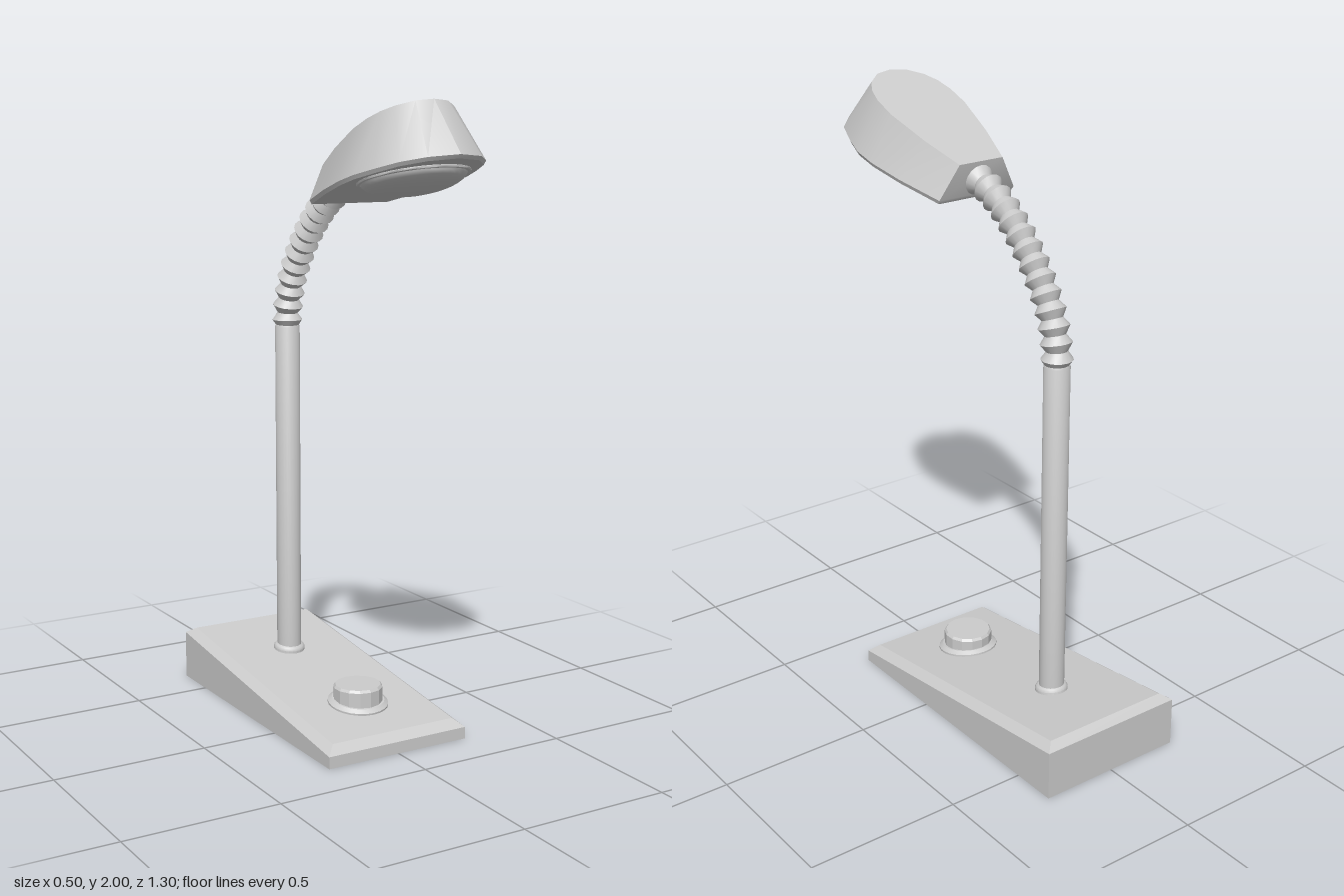
import * as THREE from 'three';
import { toCreasedNormals } from 'three/addons/utils/BufferGeometryUtils.js';

const material = new THREE.MeshStandardMaterial({ color: 0xcccccc });
const V = (x, y, z) => new THREE.Vector3(x, y, z);

function part(name, geometry, crease = 0.6) {
  const mesh = new THREE.Mesh(toCreasedNormals(geometry, crease), material);
  mesh.name = name;
  return mesh;
}

// Skin stacked closed loops (anticlockwise seen from above), capped at both ends
function loft(loops) {
  const n = loops[0].length, pos = [], index = [];
  loops.forEach(loop => loop.forEach(p => pos.push(p.x, p.y, p.z)));
  for (let k = 0; k < loops.length - 1; k++) {
    for (let i = 0; i < n; i++) {
      const a = k * n + i, b = k * n + (i + 1) % n;
      index.push(a, b, b + n, a, b + n, a + n);
    }
  }
  const last = (loops.length - 1) * n;
  for (let i = 1; i < n - 1; i++) {
    index.push(0, i + 1, i, last, last + i, last + i + 1);
  }
  const g = new THREE.BufferGeometry();
  g.setAttribute('position', new THREE.Float32BufferAttribute(pos, 3));
  g.setIndex(index);
  return g;
}

function lathe(points, sides = 24) {
  return new THREE.LatheGeometry(points.map(p => new THREE.Vector2(...p)), sides);
}

const SLOPE = 0.122; // fall of the base top towards the front
const baseTop = z => 0.065 + (0.32 - z) * SLOPE;

function createBase() {
  const rect = (inset, yOf) => {
    const x = 0.25 - inset, f = 0.35 - inset, b = -0.65 + inset;
    return [[-x, f], [x, f], [x, b], [-x, b]].map(([px, pz]) => V(px, yOf(pz), pz));
  };
  return part('base', loft([
    rect(0, () => 0),
    rect(0, z => baseTop(z) - 0.023),
    rect(0.03, baseTop),
  ]), 0.1);
}

// Corrugated tube: every other ring of a tube is pulled in
function createGooseneck() {
  const path = new THREE.CatmullRomCurve3([
    V(0, 1.26, -0.35), V(0, 1.32, -0.347), V(0, 1.43, -0.313), V(0, 1.565, -0.222),
    V(0, 1.68, -0.098), V(0, 1.733, 0), V(0, 1.75, 0.06),
  ]);
  const rings = 28, sides = 16;
  const g = new THREE.TubeGeometry(path, rings, 0.05, sides);
  const pos = g.attributes.position, p = V(0, 0, 0);
  for (let i = 0; i <= rings; i++) {
    const c = path.getPointAt(i / rings), s = i % 2 ? 1 : 0.66;
    for (let j = 0; j <= sides; j++) {
      const k = i * (sides + 1) + j;
      p.fromBufferAttribute(pos, k).sub(c).multiplyScalar(s).add(c);
      pos.setXYZ(k, p.x, p.y, p.z);
    }
  }
  return part('gooseneck', g);
}

function createHead() {
  const head = new THREE.Group();
  head.name = 'lampHead';

  // Half outlines [x, z] from the front round to the back
  const rim = [[0, 0.648], [0.09, 0.619], [0.148, 0.56], [0.178, 0.48],
    [0.2, 0.4], [0.2, 0.32], [0.18, 0.2], [0.14, 0.047]];
  const roof = [[0, 0.512], [0.055, 0.5], [0.1, 0.465], [0.125, 0.425],
    [0.138, 0.375], [0.14, 0.3], [0.115, 0.155], [0.08, 0.025]];
  const under = z => 1.687 + 0.25 * (z - 0.045);
  const loop = (half, yOf, s = 1) => {
    const mirrored = half.slice(1).reverse().map(([x, z]) => [-x, z]);
    return [...half, ...mirrored].map(([x, z]) => V(x * s, yOf(z), (z - 0.35) * s + 0.35));
  };
  head.add(part('shade', loft([
    loop(rim, under, 0.975),
    loop(rim, z => under(z) + 0.012),
    loop(roof, z => 1.805 + 0.402 * (z - 0.025)),
  ]), 0.5));

  // Bulging lens with a thin ring around it
  const lamp = new THREE.Group();
  lamp.name = 'lamp';
  const arc = [];
  for (let i = 0; i <= 8; i++) {
    const a = i / 8;
    arc.push([0.157 * Math.sin(a * Math.PI / 2), -0.05 * Math.cos(a * Math.PI / 2)]);
  }
  lamp.add(part('lens', lathe(arc, 32)));
  const ring = part('lensRing', new THREE.TorusGeometry(0.162, 0.007, 8, 32), 1);
  ring.rotation.x = Math.PI / 2;
  lamp.add(ring);
  lamp.position.set(0, under(0.41), 0.41);
  lamp.rotation.x = -Math.atan(0.25);
  head.add(lamp);
  return head;
}

export function createModel() {
  const model = new THREE.Group();
  model.name = 'deskLamp';
  model.add(createBase());

  // Upright post and the collar where it meets the base
  const post = part('post', lathe([[0, 0.1], [0.041, 0.1], [0.041, 1.262],
    [0.036, 1.272], [0, 1.272]]));
  post.position.z = -0.35;
  model.add(post);
  const collar = part('postCollar', lathe([[0.053, -0.01], [0.053, 0.008],
    [0.048, 0.016], [0.04, 0.02]]));
  collar.position.set(0, baseTop(-0.35), -0.35);
  collar.rotation.x = SLOPE;
  model.add(collar);

  // Control knob on its sloping flange
  const flange = part('knobFlange', lathe([[0.098, -0.01], [0.098, 0.006],
    [0.085, 0.016], [0, 0.016]]));
  flange.position.set(0, baseTop(0.105), 0.105);
  flange.rotation.x = SLOPE;
  model.add(flange);
  const knob = part('knob', lathe([[0.08, 0.08], [0.08, 0.147],
    [0.074, 0.155], [0, 0.155]], 14), 0.3);
  knob.position.z = 0.105;
  model.add(knob);

  model.add(createGooseneck());
  model.add(createHead());
  return model;
}
